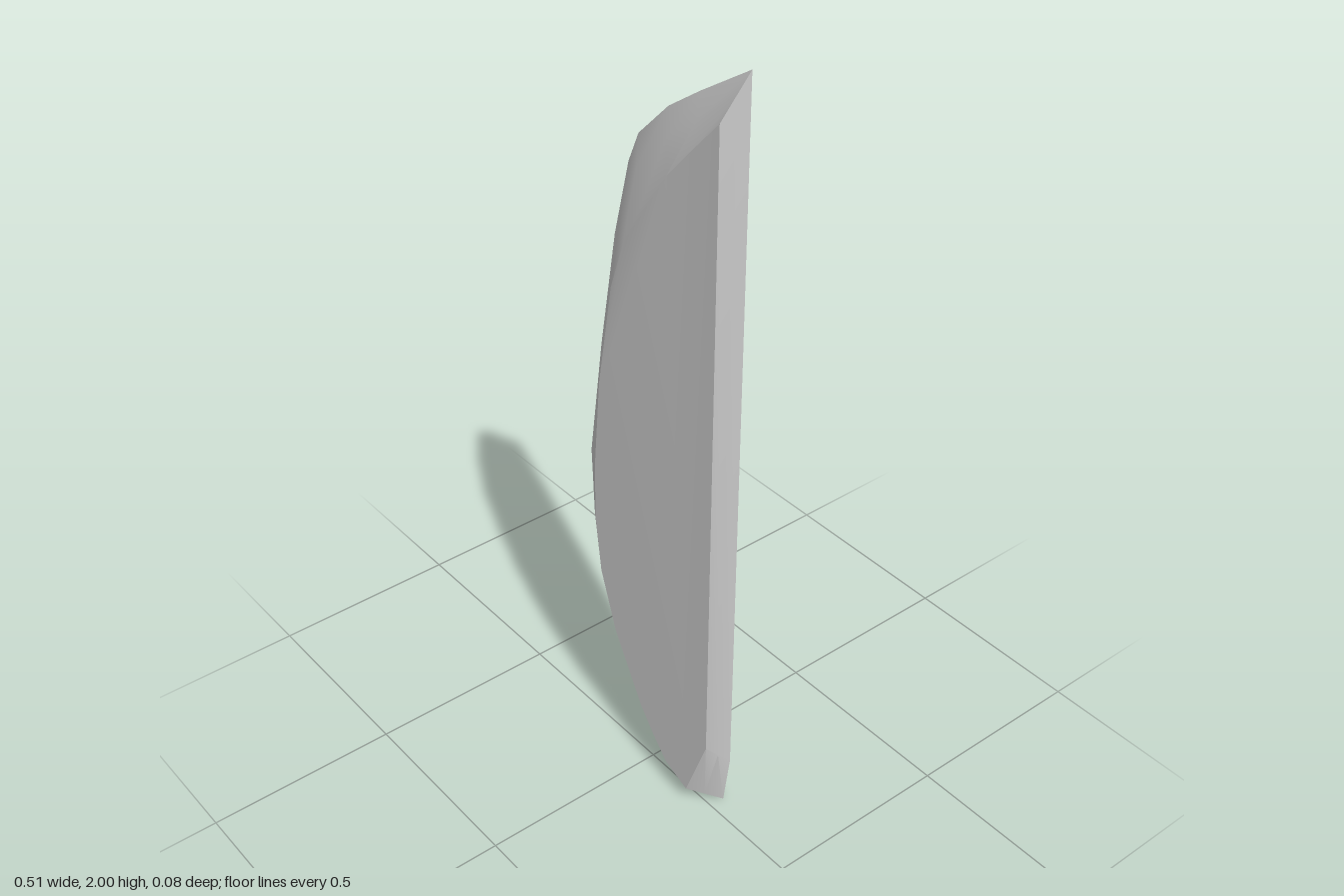
import * as THREE from 'three';
import { toCreasedNormals } from 'three/addons/utils/BufferGeometryUtils.js';

// Matching outlines, listed counter-clockwise as seen from the front: [x, y]
const BACK = [
  [0.253, 2], [0.1, 1.9], [0, 1.83], [-0.1, 1.73], [-0.135, 1.65], [-0.15, 1.57],
  [-0.2, 1.24], [-0.255, 0.83], [-0.222, 0.61], [-0.19, 0.4], [-0.16, 0.33],
  [0, 0.11], [0.07, 0.05], [0.14, 0.012], [0.232, 0], [0.253, 0.15],
];
const FRONT = [
  [0.253, 1.91], [0.17, 1.82], [0.09, 1.73], [0, 1.61], [-0.055, 1.51], [-0.1, 1.38],
  [-0.15, 1.1], [-0.172, 0.86], [-0.175, 0.7], [-0.155, 0.54], [-0.1, 0.38],
  [0, 0.2], [0.05, 0.135], [0.1, 0.08], [0.18, 0.046], [0.253, 0.24],
];
// How far the middle of the bevel swells outwards at each point
const SWELL = [0, 0, 0.004, 0.008, 0.01, 0.01, 0.016, 0.025, 0.032, 0.022, 0.012, 0.008, 0.005, 0.003, 0, 0];
const HALF = 0.04;

// Bevelled slab: back, middle and front outlines joined by strips, then capped
function slabGeometry() {
  const n = BACK.length;
  const middle = BACK.map(([x, y], i) => [
    (x + FRONT[i][0]) / 2 - SWELL[i],
    (y + FRONT[i][1]) / 2 + (y > 1.4 ? SWELL[i] : y < 0.35 ? -SWELL[i] : 0),
  ]);
  const rings = [[BACK, -HALF], [middle, 0], [FRONT, HALF]];
  const positions = rings.flatMap(([ring, z]) => ring.flatMap(([x, y]) => [x, y, z]));
  const index = [];
  for (let r = 0; r < 2; r++) {
    for (let i = 0; i < n; i++) {
      const j = (i + 1) % n;
      const a = r * n + i, b = r * n + j;
      index.push(a, b, b + n, a, b + n, a + n);
    }
  }
  const cap = (ring, offset, flip) => {
    const points = ring.map(([x, y]) => new THREE.Vector2(x, y));
    for (const [a, b, c] of THREE.ShapeUtils.triangulateShape(points, [])) {
      index.push(offset + a, offset + (flip ? c : b), offset + (flip ? b : c));
    }
  };
  cap(BACK, 0, true);
  cap(FRONT, 2 * n, false);

  const geometry = new THREE.BufferGeometry();
  geometry.setAttribute('position', new THREE.Float32BufferAttribute(positions, 3));
  geometry.setIndex(index);
  return toCreasedNormals(geometry, Math.PI / 6);
}

export function createModel() {
  const group = new THREE.Group();
  group.name = 'bevelledSlab';
  const stone = new THREE.MeshStandardMaterial({ color: 0xcccccc });
  stone.name = 'light grey';
  const slab = new THREE.Mesh(slabGeometry(), stone);
  slab.name = 'slab';
  group.add(slab);
  return group;
}
